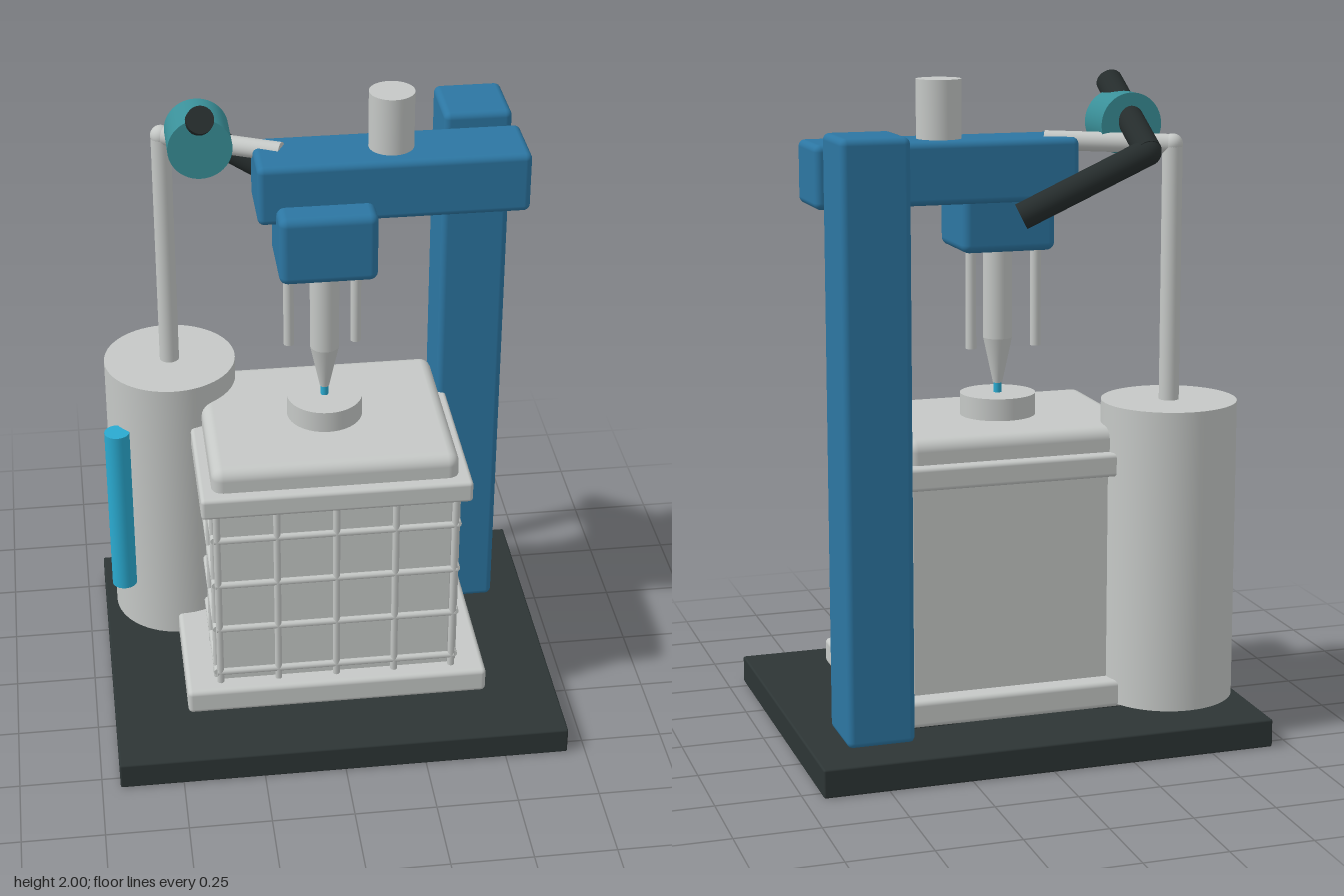
import * as THREE from 'three';
import { RoundedBoxGeometry } from 'three/addons/geometries/RoundedBoxGeometry.js';

export function createModel() {
  const model = new THREE.Group();
  const material = (name, color) => {
    const m = new THREE.MeshStandardMaterial({ color });
    m.name = name;
    return m;
  };
  const grey = material('light grey', 0xc5c8c6);
  const blue = material('machine blue', 0x2c76a2);
  const slate = material('dark slate', 0x2d3535);
  const black = material('arm black', 0x262d2d);
  const teal = material('joint teal', 0x3a9099);
  const cyan = material('bright cyan', 0x2aaad0);

  const add = (name, geometry, mat, parent = model) => {
    const mesh = new THREE.Mesh(geometry, mat);
    mesh.name = name;
    parent.add(mesh);
    return mesh;
  };
  // Box given by its limits on each axis, with rounded edges
  const box = (name, mat, [x0, x1], [y0, y1], [z0, z1], r) =>
    add(name, new RoundedBoxGeometry(x1 - x0, y1 - y0, z1 - z0, 3, r), mat)
      .position.set((x0 + x1) / 2, (y0 + y1) / 2, (z0 + z1) / 2);
  // Cylinder between two points
  const rod = (name, mat, a, b, r, parent = model, sides = 32) => {
    const p = new THREE.Vector3(...a), q = new THREE.Vector3(...b);
    const dir = q.clone().sub(p);
    const mesh = add(name, new THREE.CylinderGeometry(r, r, dir.length(), sides), mat, parent);
    mesh.position.copy(p).add(q).multiplyScalar(0.5);
    mesh.quaternion.setFromUnitVectors(new THREE.Vector3(0, 1, 0), dir.normalize());
  };
  const ball = (name, mat, p, r) =>
    add(name, new THREE.SphereGeometry(r, 24, 16), mat).position.set(...p);

  // Base slab
  box('base', slate, [-0.694, 0.694], [0, 0.086], [-0.547, 0.547], 0.006);

  // Vessel with feet, foot plate, rim and lid
  for (const x of [-0.29, 0.29])
    for (const z of [-0.22, 0.22])
      box('vesselFoot', slate, [x - 0.07, x + 0.07], [0.08, 0.112], [z - 0.07, z + 0.07], 0.005);
  box('footPlate', grey, [-0.468, 0.468], [0.106, 0.188], [-0.35, 0.35], 0.015);
  box('vesselBody', grey, [-0.36, 0.36], [0.17, 0.84], [-0.29, 0.29], 0.01);
  box('vesselRim', grey, [-0.408, 0.408], [0.82, 0.89], [-0.335, 0.335], 0.012);
  box('vesselLid', grey, [-0.372, 0.372], [0.85, 0.963], [-0.3, 0.3], 0.035);
  rod('lidCap', grey, [0, 0.95, 0], [0, 1.03, 0], 0.115, model, 48);

  // Cage bars on the front and both sides
  const cage = new THREE.Group();
  cage.name = 'cage';
  model.add(cage);
  const bar = 0.011, cx = 0.371, cz = 0.301;
  for (const x of [-0.362, -0.181, 0, 0.181, 0.362])
    rod('frontBar', grey, [x, 0.18, cz], [x, 0.83, cz], bar, cage, 10);
  for (const s of [-1, 1])
    for (const z of [-0.27, -0.09, 0.09, 0.27])
      rod('sideBar', grey, [s * cx, 0.18, z], [s * cx, 0.83, z], bar, cage, 10);
  for (const y of [0.225, 0.39, 0.555, 0.72]) {
    rod('frontRail', grey, [-cx, y, cz], [cx, y, cz], bar, cage, 10);
    for (const s of [-1, 1])
      rod('sideRail', grey, [s * cx, y, -0.29], [s * cx, y, cz], bar, cage, 10);
  }

  // Column, cross arm, head and motor
  box('column', blue, [0.38, 0.584], [0.08, 1.854], [-0.4, -0.182], 0.02);
  box('crossArm', blue, [-0.198, 0.604], [1.63, 1.816], [-0.18, 0.036], 0.02);
  box('head', blue, [-0.145, 0.145], [1.475, 1.69], [-0.122, 0.122], 0.025);
  rod('motor', grey, [0.205, 1.79, -0.075], [0.205, 1.99, -0.075], 0.067, model, 48);

  // Nozzle, tip and guide rods
  rod('nozzle', grey, [0, 1.2, 0], [0, 1.5, 0], 0.044);
  add('nozzleCone', new THREE.CylinderGeometry(0.044, 0.014, 0.14, 32), grey).position.y = 1.13;
  rod('nozzleTip', cyan, [0, 1.02, 0], [0, 1.07, 0], 0.012, model, 20);
  for (const s of [-1, 1])
    rod('guideRod', grey, [s * 0.102, 1.18, -0.056], [s * 0.102, 1.5, -0.056], 0.016, model, 20);

  // Side tank, sight tube and mast
  rod('tankFoot', slate, [-0.455, 0.08, -0.265], [-0.455, 0.12, -0.265], 0.1);
  rod('sideTank', grey, [-0.455, 0.115, -0.265], [-0.455, 1.032, -0.265], 0.204, model, 64);
  rod('sightTube', cyan, [-0.634, 0.29, -0.12], [-0.634, 0.862, -0.12], 0.039);
  rod('mast', grey, [-0.455, 1.02, -0.265], [-0.455, 1.8, -0.265], 0.03);
  ball('mastJoint', grey, [-0.455, 1.797, -0.265], 0.031);
  rod('mastArm', grey, [-0.455, 1.797, -0.265], [-0.115, 1.803, -0.098], 0.029);

  // Swivel joint with its bent black arm
  rod('swivelJoint', teal, [-0.354, 1.85, -0.19], [-0.354, 1.85, -0.047], 0.094, model, 48);
  rod('upperLink', black, [-0.354, 1.965, 0], [-0.354, 1.782, -0.33], 0.04);
  ball('elbow', black, [-0.354, 1.782, -0.325], 0.04);
  rod('lowerLink', black, [-0.354, 1.782, -0.325], [0, 1.595, -0.225], 0.04);

  return model;
}
